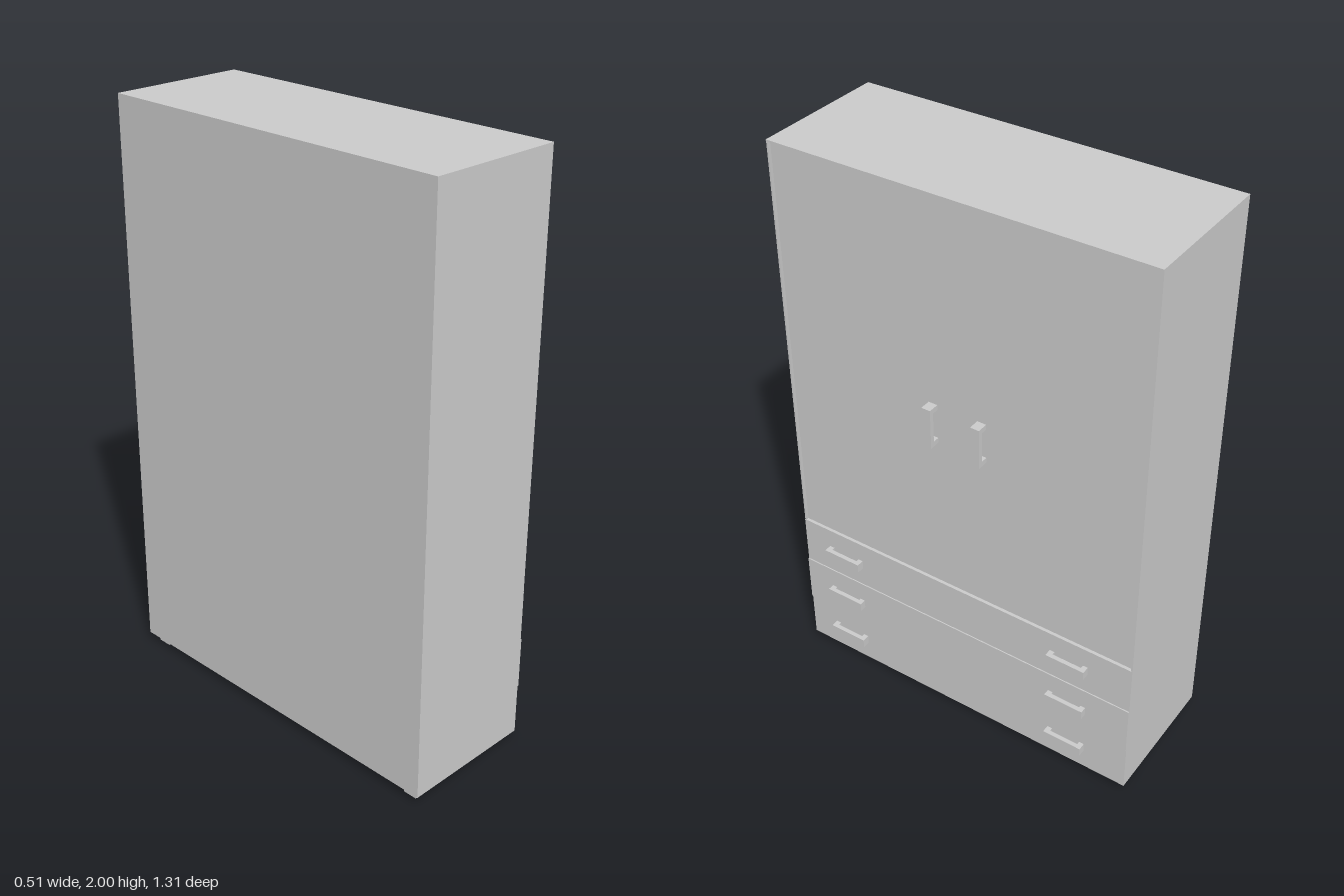
import * as THREE from 'three';

const material = new THREE.MeshStandardMaterial({ color: 0xcccccc, flatShading: true });

// Box given by its extents on each axis
function box(parent, name, [x0, x1], [y0, y1], [z0, z1]) {
  const mesh = new THREE.Mesh(new THREE.BoxGeometry(x1 - x0, y1 - y0, z1 - z0), material);
  mesh.position.set((x0 + x1) / 2, (y0 + y1) / 2, (z0 + z1) / 2);
  mesh.name = name;
  parent.add(mesh);
}

// Upright pull handle: a bar on two short posts, origin on the front panel
function pullHandle(name) {
  const handle = new THREE.Group();
  handle.name = name;
  box(handle, 'bar', [0.012, 0.027], [-0.071, 0.071], [-0.016, 0.016]);
  box(handle, 'lowerPost', [-0.015, 0.012], [-0.071, -0.053], [-0.016, 0.016]);
  box(handle, 'upperPost', [-0.015, 0.012], [0.053, 0.071], [-0.016, 0.016]);
  return handle;
}

export function createModel() {
  const model = new THREE.Group();
  model.name = 'wardrobe';
  const back = -0.255, front = 0.225, half = 0.654, panel = 0.006, doorFace = 0.214;

  // Carcass panels, whose front edges frame the recessed doors
  box(model, 'topPanel', [back, front], [2 - panel, 2], [-half, half]);
  box(model, 'basePanel', [back, doorFace], [0.028, 0.034], [-half, half]);
  box(model, 'backPanel', [back, back + panel], [0.034, 2 - panel], [-half + panel, half - panel]);
  for (const side of [-1, 1]) {
    const z = [side * half, side * (half - panel)].sort((a, b) => a - b);
    box(model, side > 0 ? 'leftPanel' : 'rightPanel', [back, front - 0.001], [0.034, 2 - panel], z);
  }

  // Pair of doors
  box(model, 'rightDoor', [doorFace - 0.02, doorFace], [0.565, 2 - panel], [-half + panel, 0]);
  box(model, 'leftDoor', [doorFace - 0.02, doorFace], [0.565, 2 - panel], [0, half - panel]);
  for (const z of [-0.088, 0.09]) {
    const handle = pullHandle('doorHandle');
    handle.position.set(front, 1.211, z);
    model.add(handle);
  }

  // Three drawers, the middle one slightly open
  const drawers = [
    { y: [0.028, 0.205], out: 0, handleY: 0.117 },
    { y: [0.205, 0.385], out: 0.004, handleY: 0.295 },
    { y: [0.385, 0.565], out: 0, handleY: 0.477 },
  ];
  for (const { y, out, handleY } of drawers) {
    box(model, 'drawerFront', [doorFace - 0.02, front + out], y, [-half, half]);
    for (const z of [-0.425, 0.477]) {
      const handle = pullHandle('drawerHandle');
      handle.rotation.x = Math.PI / 2;
      handle.position.set(front, handleY, z);
      model.add(handle);
    }
  }

  // Feet
  for (const x of [-0.21, 0.175])
    for (const z of [-0.597, 0.605])
      box(model, 'foot', [x - 0.025, x + 0.025], [0, 0.03], [z - 0.025, z + 0.025]);

  return model;
}
